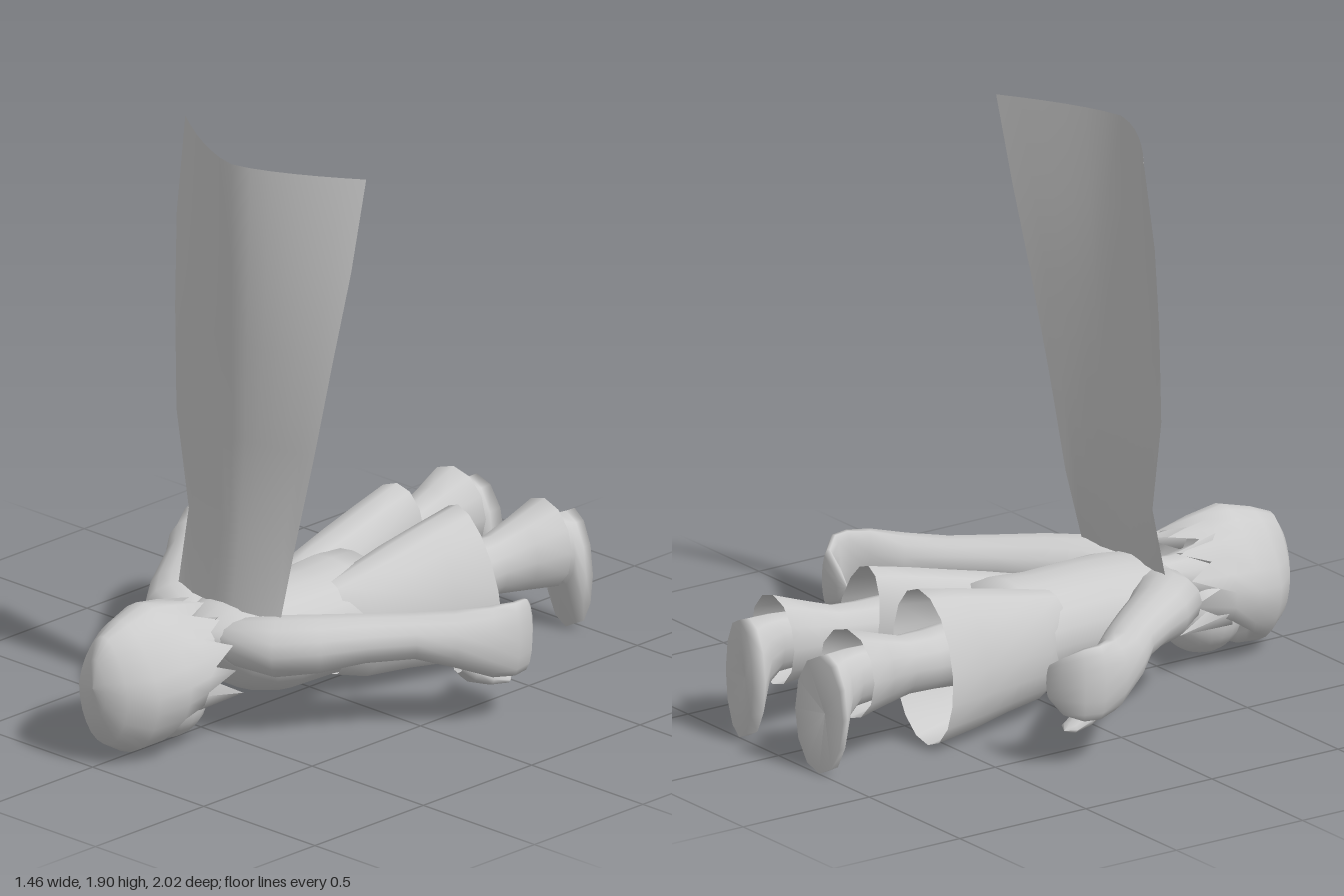
import * as THREE from 'three';
import { ParametricGeometry } from 'three/addons/geometries/ParametricGeometry.js';
import { mergeVertices } from 'three/addons/utils/BufferGeometryUtils.js';

const material = new THREE.MeshStandardMaterial({ color: 0xcccccc, side: THREE.DoubleSide });

// Joins elliptical rings [x, y, z, halfWidth, halfHeight]; each ring turns with the path.
function loft(rings, sides = 16, adjust = null) {
  const pos = [], index = [];
  rings.forEach(([x, y, z, a, b], i) => {
    const p = rings[Math.max(i - 1, 0)], q = rings[Math.min(i + 1, rings.length - 1)];
    const yaw = Math.atan2(q[0] - p[0], q[2] - p[2]);
    for (let j = 0; j < sides; j++) {
      const t = j / sides * Math.PI * 2, c = Math.cos(t), s = Math.sin(t);
      const v = new THREE.Vector3(x + a * c * Math.cos(yaw), y + b * s, z - a * c * Math.sin(yaw));
      if (adjust) adjust(v, i, j, s);
      pos.push(v.x, v.y, v.z);
      if (i < rings.length - 1) {
        const k = i * sides + j, l = i * sides + (j + 1) % sides;
        index.push(k, l, l + sides, k, l + sides, k + sides);
      }
    }
  });
  const g = new THREE.BufferGeometry();
  g.setAttribute('position', new THREE.Float32BufferAttribute(pos, 3));
  g.setIndex(index);
  g.computeVertexNormals();
  return g;
}

function mirrored(geometry) {
  const g = geometry.clone().scale(-1, 1, 1);
  g.index.array.reverse();
  g.computeVertexNormals();
  return g;
}

export function createModel() {
  const model = new THREE.Group();
  const add = (name, geometry) => {
    const mesh = new THREE.Mesh(geometry, material);
    mesh.name = name;
    model.add(mesh);
  };
  const addPair = (name, geometry) => {
    add(name + 'Left', geometry);
    add(name + 'Right', mirrored(geometry));
  };

  // Torso lying face down, head towards +z
  add('torso', loft([
    [0, 0.31, 0.53, 0.001, 0.001], [0, 0.31, 0.51, 0.09, 0.06], [0, 0.28, 0.42, 0.19, 0.13],
    [0, 0.26, 0.33, 0.22, 0.16], [0, 0.245, 0.21, 0.21, 0.18], [0, 0.24, 0.02, 0.21, 0.18],
    [0, 0.24, -0.1, 0.23, 0.188], [0, 0.245, -0.2, 0.24, 0.18], [0, 0.25, -0.25, 0.001, 0.001],
  ], 20));

  // Wide open garment legs, leaning inward towards the top
  addPair('garmentLeg', loft([
    [0.1, 0.24, 0.0, 0.09, 0.16], [0.12, 0.24, -0.1, 0.115, 0.185],
    [0.14, 0.255, -0.25, 0.135, 0.205], [0.163, 0.265, -0.4, 0.135, 0.23],
    [0.185, 0.275, -0.56, 0.14, 0.25],
  ], 16, (v, i, j, s) => { v.x -= 0.012 * i * s; v.z -= i === 4 ? -0.015 * s : 0; }));

  // Flared trouser legs
  addPair('trouserLeg', loft([
    [0.165, 0.29, -0.4, 0.1, 0.11], [0.175, 0.295, -0.55, 0.095, 0.1],
    [0.185, 0.3, -0.65, 0.085, 0.1], [0.195, 0.31, -0.76, 0.105, 0.125],
    [0.205, 0.322, -0.875, 0.135, 0.152],
  ], 12));

  // Feet with upright soles
  addPair('foot', loft([
    [0.2, 0.31, -0.72, 0.07, 0.09], [0.21, 0.31, -0.87, 0.075, 0.1],
    [0.215, 0.285, -0.925, 0.085, 0.125], [0.217, 0.21, -0.96, 0.1, 0.2],
    [0.22, 0.21, -0.998, 0.105, 0.2], [0.22, 0.21, -0.975, 0.001, 0.001],
  ], 12));

  // Arms swept back, ending in a curled hand
  addPair('arm', loft([
    [0.03, 0.31, 0.43, 0.07, 0.05], [0.12, 0.315, 0.425, 0.095, 0.08], [0.22, 0.315, 0.38, 0.115, 0.1],
    [0.31, 0.32, 0.28, 0.105, 0.095], [0.4, 0.33, 0.16, 0.095, 0.08], [0.5, 0.33, 0.03, 0.085, 0.075],
    [0.59, 0.315, -0.07, 0.085, 0.095], [0.665, 0.302, -0.16, 0.06, 0.122],
    [0.695, 0.3, -0.23, 0.035, 0.128], [0.69, 0.3, -0.285, 0.028, 0.125],
    [0.65, 0.295, -0.335, 0.022, 0.1], [0.58, 0.29, -0.34, 0.015, 0.06], [0.55, 0.29, -0.33, 0.001, 0.001],
  ], 14));
  addPair('fingers', loft([
    [0.6, 0.23, -0.07, 0.02, 0.03], [0.585, 0.19, -0.13, 0.045, 0.04],
    [0.59, 0.15, -0.21, 0.045, 0.03], [0.605, 0.13, -0.28, 0.035, 0.016], [0.61, 0.125, -0.305, 0.001, 0.001],
  ], 8));

  // Neck and downward face
  add('neck', loft([[0, 0.29, 0.68, 0.1, 0.1], [0, 0.3, 0.56, 0.075, 0.075], [0, 0.3, 0.46, 0.09, 0.08]], 12));
  const face = new THREE.SphereGeometry(1, 20, 14).scale(0.14, 0.135, 0.14);
  add('face', face.translate(0, 0.165, 0.67));

  // Hair: narrow crown, jagged rim, open over the face
  add('hair', loft([
    [0, 0.28, 1.0, 0.001, 0.001], [0, 0.28, 0.99, 0.05, 0.1], [0, 0.262, 0.95, 0.11, 0.185],
    [0, 0.255, 0.87, 0.175, 0.225], [0, 0.275, 0.76, 0.212, 0.235],
    [0, 0.285, 0.67, 0.21, 0.21], [0, 0.3, 0.57, 0.185, 0.16],
  ], 24, (v, i, j, s) => {
    v.x *= 1 - 0.3 * Math.max(0, s);
    if (i === 6) v.z += j % 2 ? -0.05 : 0.05;
    if (i > 3 && s < -0.65) v.z = Math.max(v.z, 0.78);
  }));
  // Loose locks behind the ears and at the nape
  const lock = (x, y, z, length, tilt) => new THREE.ConeGeometry(0.055, length, 4)
    .rotateX(-Math.PI / 2 + tilt).scale(0.5, 1, 1).translate(x, y, z);
  addPair('sideLock', lock(0.165, 0.19, 0.57, 0.2, -0.25));
  addPair('napeLock', lock(0.09, 0.41, 0.59, 0.16, 0.1));

  // Tall cape standing up from the shoulders: [y, halfWidth, middle z, edge z]
  const rows = [
    [0.4, 0.23, 0.4, 0.37], [0.65, 0.24, 0.37, 0.31], [0.97, 0.31, 0.355, 0.295],
    [1.3, 0.355, 0.357, 0.255], [1.6, 0.392, 0.36, 0.21], [1.915, 0.407, 0.36, 0.155],
  ];
  const cape = new ParametricGeometry((u, v, target) => {
    const [y, w, mid, edge] = rows[Math.round(v * 5)] ?? rows[5];
    const t = u * 2 - 1;
    target.set(w * t, y, mid + (edge - mid) * Math.abs(t) ** 1.4);
  }, 12, 5);
  cape.deleteAttribute('uv');
  cape.deleteAttribute('normal');
  const sheet = mergeVertices(cape);
  sheet.computeVertexNormals();
  add('cape', sheet);
  return model;
}
